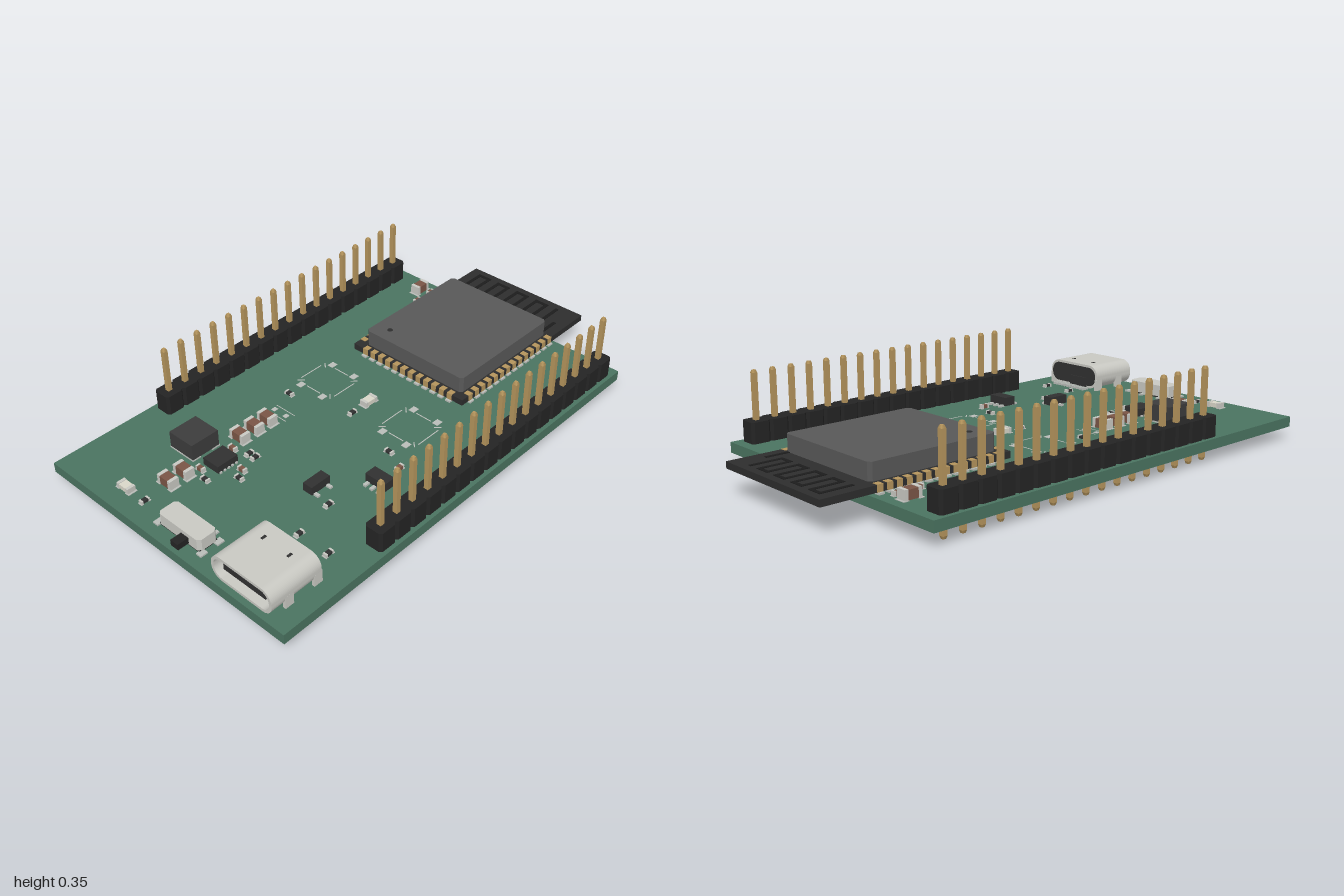
import * as THREE from 'three';

const TOP = 0.09; // upper face of the circuit board
const PITCH = 0.0777;
const C = {
  board: 0x4a7360, black: 0x242424, module: 0x2d2d2d, shield: 0x585858, gold: 0xb4945c,
  metal: 0xc8c8c2, pad: 0xb9bdb8, chip: 0x303030, brown: 0x7a5546, trace: 0x1c1c1c, white: 0xd8d6c8,
};
const mats = {};
const mat = (c) => (mats[c] ??= new THREE.MeshStandardMaterial({ color: c }));

function add(parent, name, geo, color, x = 0, y = 0, z = 0) {
  const m = new THREE.Mesh(geo, mat(color));
  m.name = name;
  m.position.set(x, y, z);
  parent.add(m);
  return m;
}
// Box placed by its centre in x and z and its underside y
const box = (parent, name, color, x, y, z, w, h, d) =>
  add(parent, name, new THREE.BoxGeometry(w, h, d), color, x, y + h / 2, z);

function group(parent, name, x = 0, y = 0, z = 0) {
  const g = new THREE.Group();
  g.name = name;
  g.position.set(x, y, z);
  parent.add(g);
  return g;
}

// Rectangle with cut corners
function cutRect(w, h, c) {
  const a = w / 2, b = h / 2;
  return new THREE.Shape([[-a + c, -b], [a - c, -b], [a, -b + c], [a, b - c], [a - c, b], [-a + c, b],
    [-a, b - c], [-a, -b + c]].map(([x, y]) => new THREE.Vector2(x, y)));
}
// Rounded rectangle
function roundRect(T, w, h, r) {
  const s = new T(), a = w / 2 - r, b = h / 2 - r;
  s.absarc(a, b, r, 0, Math.PI / 2);
  s.absarc(-a, b, r, Math.PI / 2, Math.PI);
  s.absarc(-a, -b, r, Math.PI, Math.PI * 1.5);
  s.absarc(a, -b, r, Math.PI * 1.5, Math.PI * 2);
  s.closePath();
  return s;
}
const extrude = (shape, depth) => new THREE.ExtrudeGeometry(shape, { depth, bevelEnabled: false, curveSegments: 8 });
const upright = (shape, h) => extrude(shape, h).rotateX(-Math.PI / 2);

// Two-terminal part: body between metal end caps, lying along z or x
function chip(parent, name, [x, z, alongX], len, wid, h, color) {
  const g = group(parent, name, x, TOP, z);
  box(g, 'body', color, 0, 0.002, 0, wid * 0.96, h - 0.004, len * 0.6);
  for (const s of [-1, 1]) {
    box(g, 'endCap', C.metal, 0, 0.001, s * len * 0.4, wid, h - 0.001, len * 0.2);
    box(g, 'solderPad', C.pad, 0, 0, s * len * 0.45, wid * 1.15, 0.002, len * 0.32);
  }
  if (alongX) g.rotation.y = Math.PI / 2;
}

// Pin strip with 17 chamfered segments
function pinHeader(parent, z) {
  const g = group(parent, 'pinHeader', 0, 0, z);
  const seg = upright(cutRect(PITCH, 0.075, 0.01), 0.08);
  const shaft = new THREE.BoxGeometry(0.018, 0.335, 0.018);
  const tip = new THREE.CylinderGeometry(0.008, 0.0127, 0.01, 4).rotateY(Math.PI / 4);
  const ring = new THREE.CylinderGeometry(0.024, 0.024, 0.044, 16);
  for (let i = 0; i < 17; i++) {
    const x = 0.109 + (i - 8) * PITCH;
    add(g, 'housing', seg, C.black, x, TOP, 0);
    add(g, 'pin', shaft, C.gold, x, 0.1775, 0);
    add(g, 'pinTip', tip, C.gold, x, 0.35, 0);
    add(g, 'pinTip', tip, C.gold, x, 0.005, 0).rotation.x = Math.PI;
    add(g, 'platedHole', ring, C.gold, x, 0.0705, 0);
  }
}

function radioModule(parent) {
  const g = group(parent, 'radioModule', 0, 0, 0);
  box(g, 'moduleBoard', C.module, 0.61, 0.097, 0, 0.78, 0.025, 0.55);
  add(g, 'shieldCan', upright(cutRect(0.535, 0.482, 0.012), 0.065), C.shield, 0.52, 0.122, 0.003);
  add(g, 'indexDot', new THREE.CylinderGeometry(0.011, 0.011, 0.001, 20), C.module, 0.315, 0.1875, -0.17);
  // Castellated contacts and their pads
  const contact = (x, z, w, d, ox, oz) => {
    box(g, 'contact', C.gold, x, 0.0965, z, w, 0.027, d);
    box(g, 'solderPad', C.pad, x + ox, TOP, z + oz, w, 0.007, d);
  };
  for (let i = 0; i < 14; i++)
    for (const s of [-1, 1]) contact(0.27 + i * PITCH / 2, s * 0.264, 0.023, 0.025, 0, s * 0.008);
  for (let i = 0; i < 12; i++) contact(0.231, (i - 5.5) * PITCH / 2, 0.025, 0.023, -0.01, 0);
  // Meandering antenna trace
  const a = group(g, 'antennaTrace');
  for (let i = 0; i < 9; i++) {
    const z = -0.225 + i * 0.05;
    box(a, 'traceLine', C.trace, 0.905, 0.122, z, 0.13, 0.002, 0.014);
    if (i < 8) box(a, 'traceTurn', C.trace, i % 2 ? 0.847 : 0.963, 0.122, z + 0.025, 0.014, 0.002, 0.05);
  }
  box(a, 'feedLine', C.trace, 0.83, 0.122, 0.225, 0.1, 0.002, 0.014);
  // Thermal vias on the underside
  for (let i = 0; i < 4; i++)
    for (let j = 0; j < 4; j++)
      add(g, 'thermalVia', new THREE.CylinderGeometry(0.007, 0.007, 0.003, 10), C.pad, 0.46 + i * 0.03, 0.0485, -0.09 + j * 0.03);
}

function usbSocket(parent) {
  const g = group(parent, 'usbSocket', -0.98, 0.145, 0.374);
  const shell = roundRect(THREE.Shape, 0.272, 0.1, 0.045);
  shell.holes.push(roundRect(THREE.Path, 0.25, 0.078, 0.036));
  const turn = Math.PI / 2;
  add(g, 'shell', extrude(shell, 0.215).rotateY(turn), C.metal);
  add(g, 'rearPlug', extrude(roundRect(THREE.Shape, 0.252, 0.08, 0.037), 0.07).rotateY(turn), C.chip, 0.148);
  box(g, 'tongue', C.chip, 0.09, -0.011, 0, 0.15, 0.022, 0.19);
  box(g, 'rearBlock', C.chip, 0.213, -0.05, -0.03, 0.022, 0.045, 0.09);
  for (const s of [-1, 1]) {
    box(g, 'springSlot', C.chip, 0.155, 0.0495, s * 0.058, 0.02, 0.0015, 0.01);
    for (const x of [0.075, 0.2]) box(g, 'mountTab', C.metal, x, -0.097, s * 0.13, 0.036, 0.09, 0.012);
  }
  for (let i = 0; i < 12; i++)
    box(g, 'contactLead', C.pad, 0.235, -0.054, (i - 5.5) * 0.0155, 0.036, 0.01, 0.008);
}

function slideSwitch(parent) {
  const g = group(parent, 'slideSwitch', -0.905, TOP, 0.035);
  add(g, 'case', upright(cutRect(0.08, 0.205, 0.012), 0.046), C.metal, 0, 0.006, 0);
  box(g, 'base', C.chip, 0, 0, 0, 0.076, 0.007, 0.2);
  box(g, 'slider', C.black, -0.06, 0.012, 0.032, 0.05, 0.024, 0.036);
  for (const s of [-1, 1]) {
    for (const t of [-1, 1]) box(g, 'mountFoot', C.pad, s * 0.036, 0, t * 0.108, 0.03, 0.006, 0.024);
    add(g, 'locatingPeg', new THREE.CylinderGeometry(0.011, 0.011, 0.046, 12), C.chip, 0, -0.022, s * 0.045);
  }
  for (const z of [-0.07, 0.023, 0.07]) box(g, 'lead', C.pad, 0.05, 0, z, 0.032, 0.007, 0.013);
}

// Unfitted push button: four pads and a printed outline
function buttonFootprint(parent, z) {
  const g = group(parent, 'buttonFootprint', 0, TOP, z);
  for (const s of [-1, 1]) {
    for (const t of [-1, 1]) {
      box(g, 'pad', C.pad, s * 0.087, 0, t * 0.057, 0.03, 0.002, 0.025);
      box(g, 'outlineCorner', C.pad, s * 0.066, 0, t * 0.077, 0.004, 0.001, 0.028).rotation.y = s * t * Math.PI / 4;
    }
    box(g, 'outlineSide', C.pad, s * 0.077, 0, 0, 0.004, 0.001, 0.07);
    box(g, 'outlineEnd', C.pad, 0, 0, s * 0.088, 0.11, 0.001, 0.004);
  }
}

function smallParts(parent) {
  const g = group(parent, 'smallParts');
  for (const p of [[-0.797, -0.197], [-0.727, -0.197], [-0.465, -0.197], [-0.395, -0.197], [-0.33, -0.197], [0.733, -0.37, true]])
    chip(g, 'capacitor', p, 0.068, 0.04, 0.038, C.brown);
  for (const p of [[-0.91, -0.285], [0.005, 0, true]]) chip(g, 'indicatorLamp', p, 0.06, 0.034, 0.022, C.white);
  for (const p of [[-0.085, 0, true], [-0.16, -0.255], [-0.16, 0.25], [-0.668, 0.31, true], [-0.668, 0.443, true],
    [-0.91, -0.187, true], [-0.7, -0.118], [-0.503, -0.108, true], [-0.503, -0.078, true], [-0.615, -0.037], [-0.503, 0.283, true]])
    chip(g, 'resistor', p, 0.034, 0.018, 0.013, C.chip);
  for (const p of [[0.743, -0.32, true], [0.658, -0.32, true], [-0.675, -0.17], [-0.525, -0.17], [-0.58, -0.06], [-0.205, 0.337, true]])
    chip(g, 'smallCapacitor', p, 0.034, 0.018, 0.018, C.brown);

  // Coil and power chip
  box(g, 'inductor', 0x3c3c3c, -0.602, TOP + 0.004, -0.285, 0.122, 0.066, 0.12);
  for (const s of [-1, 1]) box(g, 'inductorPad', C.pad, -0.602 + s * 0.045, TOP, -0.285, 0.036, 0.005, 0.124);
  box(g, 'powerChip', C.chip, -0.602, TOP + 0.002, -0.147, 0.092, 0.03, 0.077);
  for (let i = 0; i < 5; i++)
    for (const s of [-1, 1])
      box(g, 'powerChipLead', C.pad, -0.602 + (i - 2) * 0.018, TOP, -0.147 + s * 0.038, 0.009, 0.007, 0.012);

  // Leaded packages
  const leaded = (name, x, z, w, d, leads) => {
    const p = group(g, name, x, TOP, z);
    box(p, 'body', C.chip, 0, 0.004, 0, w, 0.034, d);
    for (const [lx, lz] of leads) {
      const alongX = Math.abs(lx) / w > Math.abs(lz) / d;
      box(p, 'lead', C.pad, lx, 0, lz, alongX ? 0.024 : 0.013, 0.008, alongX ? 0.013 : 0.024);
    }
  };
  leaded('transistor', -0.465, 0.19, 0.088, 0.042, [[-0.03, 0.03], [0.03, 0.03], [0, -0.03]]);
  leaded('protectionChip', -0.305, 0.337, 0.05, 0.09, [-0.03, 0, 0.03].flatMap((z) => [[-0.035, z], [0.035, z]]));

  // Unfitted diode footprint
  for (const s of [-1, 1]) {
    box(g, 'diodePad', C.pad, -0.262, TOP, -0.2 + s * 0.03, 0.02, 0.002, 0.018);
    box(g, 'diodeOutline', C.pad, -0.262 + s * 0.023, TOP, -0.195, 0.003, 0.001, 0.095);
  }
}

export function createModel() {
  const model = new THREE.Group();
  model.name = 'microcontrollerBoard';
  box(model, 'circuitBoard', C.board, -0.095, 0.05, 0, 1.81, 0.04, 1.16);
  for (const s of [-1, 1]) {
    pinHeader(model, s * 0.527);
    buttonFootprint(model, s * 0.21);
  }
  radioModule(model);
  usbSocket(model);
  slideSwitch(model);
  smallParts(model);
  return model;
}
